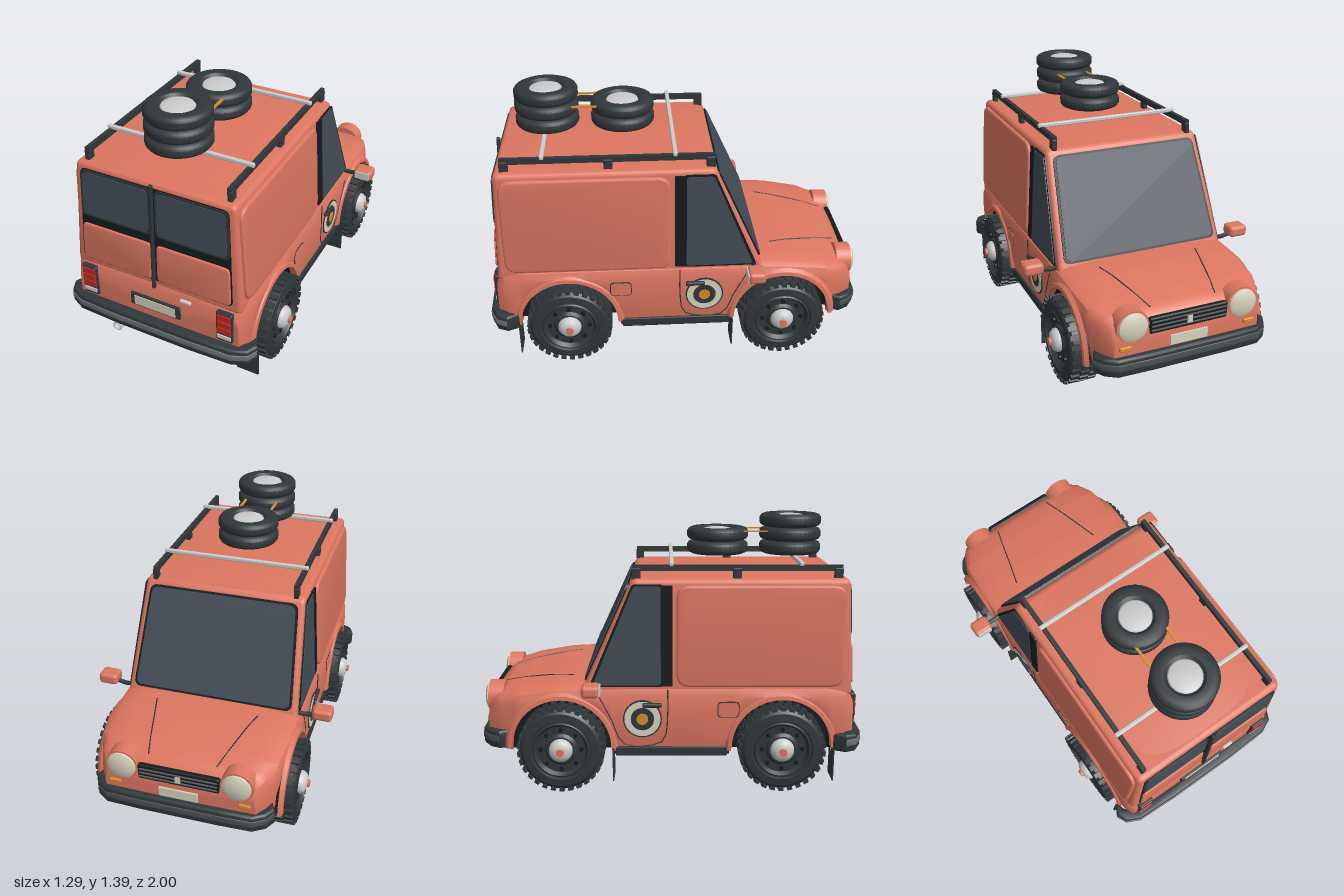
import * as THREE from 'three';
import { mergeGeometries, toCreasedNormals } from 'three/addons/utils/BufferGeometryUtils.js';
import { RoundedBoxGeometry } from 'three/addons/geometries/RoundedBoxGeometry.js';

const PAINT = 0xdc7660, DARK = 0x30373a, BLACK = 0x171b1d, GLASS = 0x434d57, GREY = 0xcccccc, CREAM = 0xd8d2bd, AMBER = 0xd98a2b, RED = 0xc02a22;
const mats = {};
const mat = c => (mats[c] ??= new THREE.MeshStandardMaterial({ color: c, side: THREE.DoubleSide }));

// Linear look-up in a list of [key, value], keys ascending
function lookup(table, k) {
  for (let i = 1; i < table.length; i++) {
    const [a, va] = table[i - 1], [b, vb] = table[i];
    if (k <= b) return va + (vb - va) * THREE.MathUtils.clamp((k - a) / (b - a), 0, 1);
  }
  return table[table.length - 1][1];
}

// Polygon with rounded corners
function rounded(pts, r) {
  const s = new THREE.Shape(), v = pts.map(p => new THREE.Vector2(...p));
  v.forEach((p, i) => {
    const a = v[(i + v.length - 1) % v.length], b = v[(i + 1) % v.length];
    const p0 = p.clone().add(a.clone().sub(p).setLength(r)), p1 = p.clone().add(b.clone().sub(p).setLength(r));
    i ? s.lineTo(p0.x, p0.y) : s.moveTo(p0.x, p0.y);
    s.quadraticCurveTo(p.x, p.y, p1.x, p1.y);
  });
  s.closePath();
  return s;
}
const rect = (x0, x1, y0, y1) => [[x0, y0], [x1, y0], [x1, y1], [x0, y1]];
const slab = (pts, r, d, bevel = 0) => toCreasedNormals(new THREE.ExtrudeGeometry(rounded(pts, r), {
  depth: d, curveSegments: 6, bevelEnabled: bevel > 0, bevelSize: bevel, bevelOffset: -bevel, bevelThickness: bevel, bevelSegments: 3 }), 0.7);
const box = (w, h, d, x, y, z) => new THREE.BoxGeometry(w, h, d).translate(x, y, z);
const rbox = (w, h, d, x, y, z, r = 0.012) => new RoundedBoxGeometry(w, h, d, 2, r).translate(x, y, z);
const discX = (r, h, x, y, z, n = 32) => new THREE.CylinderGeometry(r, r, h, n).rotateZ(-Math.PI / 2).translate(x, y, z);
const discZ = (r, h, x, y, z, n = 32) => new THREE.CylinderGeometry(r, r, h, n).rotateX(Math.PI / 2).translate(x, y, z);
const lathe = (pts, n = 40, from = 0, len = Math.PI * 2) =>
  toCreasedNormals(new THREE.LatheGeometry(pts.map(p => new THREE.Vector2(...p)), n, from, len), 0.6);
const tube = (pts, r) => new THREE.TubeGeometry(new THREE.CatmullRomCurve3(pts.map(p => new THREE.Vector3(...p))), 16, r, 6);

// Copy mirrored across x = 0, with the winding put right
function mirrored(geo) {
  const g = geo.index ? geo.toNonIndexed() : geo.clone();
  g.scale(-1, 1, 1);
  for (const a of Object.values(g.attributes))
    for (let i = 0; i < a.count; i += 3)
      for (let k = 0; k < a.itemSize; k++) {
        const t = a.getComponent(i + 1, k);
        a.setComponent(i + 1, k, a.getComponent(i + 2, k));
        a.setComponent(i + 2, k, t);
      }
  return g;
}

const cabinX = y => 0.47 - (y - 0.5) * 0.065;
// Panel drawn in (z, y), laid on the left flank
function flank(pts, r, d, off, bevel = 0, xOf = cabinX) {
  const g = slab(pts.map(([z, y]) => [-z, y]), r, d, bevel).rotateY(Math.PI / 2), p = g.attributes.position;
  for (let i = 0; i < p.count; i++) p.setX(i, p.getX(i) + xOf(p.getY(i)) + off);
  return g;
}

const WHEEL_Z = 0.57, WHEEL_Y = 0.228, ARCH = 0.258;
const topY = z => lookup([[-0.96, 0.42], [-0.94, 0.465], [-0.9, 0.49], [-0.8, 0.515], [-0.6, 0.545], [-0.45, 0.552], [0.8, 0.555], [0.91, 0.54], [0.94, 0.48]], z);
const halfW = z => lookup([[-0.96, 0.39], [-0.9, 0.43], [-0.8, 0.47], [-0.6, 0.488], [0.8, 0.488], [0.9, 0.482], [0.94, 0.46]], z);

// Lower body: cross-sections from tail to nose, its lower edge rising over the wheels
function lowerBody() {
  const arch = zc => {
    const out = [[zc + ARCH + 0.001, 0.2]];
    for (let i = 0; i <= 20; i++) out.push([zc + ARCH * Math.cos(i * Math.PI / 20), WHEEL_Y + ARCH * Math.sin(i * Math.PI / 20)]);
    return [...out, [zc - ARCH - 0.001, 0.2]];
  };
  const stations = [[0.94, 0.2], [0.925, 0.2], [0.9, 0.2], [0.86, 0.2], ...arch(WHEEL_Z), [0.1, 0.2], [-0.1, 0.2],
    ...arch(-WHEEL_Z), [-0.87, 0.2], [-0.9, 0.21], [-0.94, 0.22], [-0.96, 0.23]];
  const pos = [], idx = [];
  let n = 0;
  for (const [z, yb] of stations) {
    const W = halfW(z), T = topY(z), S = Math.max(T - 0.05, yb + 0.005);
    const half = [[W - 0.02, yb], [W - 0.003, yb + (S - yb) * 0.3], [W, yb + (S - yb) * 0.7], [W - 0.004, S],
      [W - 0.016, T - 0.018], [W - 0.045, T], [W - 0.13, T + 0.008], [W - 0.28, T + 0.013]];
    const ring = [...half, [0, T + 0.016], ...half.slice().reverse().map(([x, y]) => [-x, y])];
    n = ring.length;
    ring.forEach(([x, y]) => pos.push(x, y, z));
  }
  const last = (stations.length - 1) * n;
  for (let i = 0; i < last; i += n)
    for (let j = 0; j < n - 1; j++) idx.push(i + j, i + n + j, i + j + 1, i + n + j, i + n + j + 1, i + j + 1);
  const c = pos.length / 3;
  pos.push(0, 0.35, 0.945, 0, 0.35, -0.965);
  for (let j = 0; j < n; j++) idx.push(c, j, (j + 1) % n, c + 1, last + (j + 1) % n, last + j);
  const g = new THREE.BufferGeometry().setIndex(idx);
  g.setAttribute('position', new THREE.Float32BufferAttribute(pos, 3));
  return toCreasedNormals(g, 0.6);
}

export function createModel() {
  const model = new THREE.Group();
  const add = (name, geo, color = PAINT, parent = model) => {
    const m = new THREE.Mesh(geo, mat(color));
    m.name = name;
    parent.add(m);
    return m;
  };
  const both = (name, geo, color, parent) => { add(name + 'Left', geo, color, parent); add(name + 'Right', mirrored(geo), color, parent); };

  // Body, cabin and crowned roof
  add('lowerBody', lowerBody());
  const cabin = new THREE.ExtrudeGeometry(rounded([[-0.93, 0.5], [0.475, 0.5], [0.2, 1.1], [-0.905, 1.1]], 0.03),
    { depth: 0.89, bevelSize: 0.025, bevelOffset: -0.025, bevelThickness: 0.025, bevelSegments: 4 }).translate(0, 0, -0.445).rotateY(Math.PI / 2);
  const roof = new THREE.BoxGeometry(0.82, 0.03, 1.05, 16, 1, 10).translate(0, 1.08, 0.345);
  const cp = cabin.attributes.position, rp = roof.attributes.position;
  for (let i = 0; i < cp.count; i++) cp.setX(i, cp.getX(i) * cabinX(cp.getY(i)) / 0.47);
  for (let i = 0; i < rp.count; i++) rp.setY(i, rp.getY(i) + 0.024 * (1 - (rp.getX(i) / 0.41) ** 2) * (1 - ((rp.getZ(i) - 0.345) / 0.56) ** 4));
  add('cabin', toCreasedNormals(cabin, 0.6));
  add('roof', toCreasedNormals(roof, 0.6));
  add('underbody', mergeGeometries([box(0.72, 0.28, 1.72, 0, 0.32, 0.01), box(0.93, 0.03, 0.6, 0, 0.2, 0), box(0.7, 0.02, 1.7, 0, 0.185, 0.01),
    box(0.9, 0.02, 0.1, 0, 0.21, 0.88), box(0.8, 0.02, 0.1, 0, 0.22, -0.89)]), BLACK);

  // Windscreen
  const screen = new THREE.Group();
  screen.name = 'windscreen';
  screen.position.set(0, 0.55, -0.453);
  screen.rotation.set(0.43, Math.PI, 0, 'XYZ');
  model.add(screen);
  add('screenSeal', slab([[-0.435, 0.02], [0.435, 0.02], [0.4, 0.575], [-0.4, 0.575]], 0.04, 0.007), BLACK, screen);
  add('screenGlass', slab([[-0.422, 0.032], [0.422, 0.032], [0.388, 0.563], [-0.388, 0.563]], 0.035, 0.012), GLASS, screen);

  // Flank panels, side windows and doors
  both('sidePanel', flank(rect(0.025, 0.885, 0.55, 1.07), 0.07, 0.01, -0.005, 0.012));
  both('doorPillar', flank(rect(-0.05, 0.005, 0.555, 1.07), 0.005, 0.01, 0), BLACK);
  both('sideWindowSeal', flank([[-0.045, 0.55], [-0.425, 0.55], [-0.2, 1.075], [-0.045, 1.075]], 0.015, 0.006, 0), BLACK);
  both('sideWindow', flank([[-0.055, 0.56], [-0.405, 0.56], [-0.193, 1.065], [-0.055, 1.065]], 0.015, 0.01, 0), GLASS);
  const low = () => 0.486;
  both('sill', flank(rect(-0.29, 0.29, 0.18, 0.23), 0.012, 0.02, -0.025, 0.004, low), DARK);
  both('fuelFlapGap', flank(rect(0.235, 0.35, 0.39, 0.475), 0.025, 0.003, 0, 0, low), DARK);
  both('fuelFlap', flank(rect(0.24, 0.345, 0.395, 0.47), 0.022, 0.006, 0, 0, low));
  both('doorSeam', tube([[0.487, 0.54, -0.02], [0.488, 0.4, -0.02], [0.486, 0.27, -0.04], [0.482, 0.24, -0.1], [0.483, 0.25, -0.25], [0.487, 0.38, -0.31], [0.487, 0.5, -0.37]], 0.003), DARK);
  both('doorDiscRim', discX(0.1, 0.01, 0.487, 0.385, -0.15), DARK);
  both('doorDisc', discX(0.093, 0.012, 0.488, 0.385, -0.15), CREAM);
  both('doorDiscRing', discX(0.06, 0.014, 0.489, 0.385, -0.15), DARK);
  both('doorDiscCentre', discX(0.03, 0.018, 0.49, 0.385, -0.15), AMBER);
  both('doorHandle', rbox(0.024, 0.022, 0.1, 0.498, 0.46, -0.1, 0.008), DARK);
  both('mirrorArm', tube([[0.44, 0.55, -0.41], [0.5, 0.545, -0.41], [0.56, 0.555, -0.405]], 0.012), DARK);
  both('mirrorShell', rbox(0.105, 0.062, 0.09, 0.592, 0.57, -0.405, 0.02));
  both('mirrorGlass', rbox(0.085, 0.046, 0.008, 0.592, 0.57, -0.36, 0.003), GREY);

  // Wheel (axis along x), with lugs, bolts and hub
  const spin = g => g.rotateZ(-Math.PI / 2);
  const tyre = spin(lathe([[0.001, 0.41], [0.14, 0.41], [0.15, 0.39], [0.195, 0.39], [0.214, 0.405], [0.217, 0.46], [0.214, 0.515], [0.195, 0.532],
    [0.158, 0.536], [0.153, 0.525], [0.146, 0.525], [0.14, 0.532], [0.125, 0.512], [0.085, 0.512], [0.07, 0.525], [0.001, 0.525]], 48));
  const lugs = [], bolts = [];
  for (let i = 0; i < 30; i++)
    for (const k of [0, 1, 2])
      lugs.push(box(0.044, 0.016, 0.026, 0.412 + k * 0.049, 0.217, 0).rotateX((i + k * 0.5) * Math.PI / 15));
  for (let i = 0; i < 8; i++) bolts.push(discX(0.011, 0.012, 0.516, 0.105, 0, 8).rotateX(i * Math.PI / 4));
  const hub = spin(lathe([[0.062, 0.52], [0.06, 0.537], [0.048, 0.554], [0.025, 0.563], [0.001, 0.565]], 28));
  const parts = [['tyre', tyre, DARK], ['tread', mergeGeometries(lugs), DARK], ['wheelBolts', mergeGeometries(bolts), BLACK],
    ['hubCap', hub, GREY], ['hubNut', discX(0.02, 0.016, 0.567, 0, 0, 12), PAINT]];
  for (const [end, z] of [['rear', WHEEL_Z], ['front', -WHEEL_Z]]) {
    for (const [name, g, c] of parts) both(end + '_' + name, g.clone().translate(0, WHEEL_Y, z), c);
    // Half-round well and lip: the sweep is turned to lie over the wheel
    const over = g => spin(g).translate(0, WHEEL_Y, z);
    both(end + 'WheelWell', over(lathe([[ARCH, 0.34], [ARCH, 0.468]], 24, Math.PI, Math.PI)), BLACK);
    both(end + 'ArchLip', over(lathe([[ARCH + 0.035, 0.474], [ARCH + 0.02, 0.494], [ARCH, 0.497], [ARCH - 0.003, 0.46]], 32, Math.PI, Math.PI)));
    both(end + 'MudFlap', box(0.12, 0.17, 0.006, 0.46, 0.14, z + 0.268), DARK);
  }

  // Bumpers: bent bands seen from above, with a bright strip
  const bumper = (name, sign, ends, stripColor) => {
    const band = (o, y0, h, bev) => {
      const outer = ends.map(([x, z]) => [x, z + o]), all = [...outer, ...outer.slice().reverse().map(([x, z]) => [-x, z])];
      const inner = all.slice().reverse().map(([x, z]) => [x * 0.94, z - 0.06]);
      const s = new THREE.Shape([...all, ...inner].map(([x, z]) => new THREE.Vector2(x, -z * sign)));
      return toCreasedNormals(new THREE.ExtrudeGeometry(s, { depth: h - 2 * bev, bevelSize: bev, bevelOffset: -bev, bevelThickness: bev, bevelSegments: 3 })
        .rotateX(-Math.PI / 2).translate(0, y0 + bev, 0), 0.6);
    };
    add(name, band(0, 0.215, 0.095, 0.014), DARK);
    add(name + 'Strip', band(0.004, 0.25, 0.035, 0.003), stripColor);
  };
  bumper('rearBumper', 1, [[0.54, 0.895], [0.515, 0.95], [0.44, 0.985], [0.2, 0.994]], 0x6d7375);
  bumper('frontBumper', -1, [[0.47, 0.895], [0.44, 0.95], [0.38, 0.99], [0.2, 0.996]], 0x4b5255);

  // Rear doors, leaning with the cabin
  const rear = new THREE.Group();
  rear.name = 'rearDoors';
  rear.position.set(0, 0.5, 0.93);
  rear.rotation.x = -0.045;
  model.add(rear);
  add('rearDoorSeal', slab([[-0.425, 0.045], [0.425, 0.045], [0.4, 0.575], [-0.4, 0.575]], 0.03, 0.004), BLACK, rear);
  both('rearWindowFrame', slab([[0.012, 0.31], [0.41, 0.31], [0.4, 0.57], [0.012, 0.57]], 0.03, 0.009), DARK, rear);
  both('rearWindow', slab([[0.025, 0.322], [0.396, 0.322], [0.385, 0.558], [0.025, 0.558]], 0.03, 0.013), GLASS, rear);
  both('rearDoorPanel', slab([[0.014, 0.05], [0.418, 0.05], [0.408, 0.262], [0.014, 0.262]], 0.025, 0.006, 0.008), PAINT, rear);
  add('doorBar', rbox(0.018, 0.59, 0.02, 0, 0.305, 0.018, 0.006), DARK, rear);

  // Tail fittings
  both('tailLampBase', rbox(0.09, 0.18, 0.03, 0.388, 0.415, 0.94, 0.01), DARK);
  both('tailLampRed', mergeGeometries([0, 1, 2].map(i => rbox(0.076, 0.038, 0.03, 0.388, 0.475 - i * 0.04, 0.945, 0.005))), RED);
  both('reverseLamp', rbox(0.076, 0.026, 0.03, 0.388, 0.355, 0.945, 0.005), GREY);
  add('rearPlateFrame', rbox(0.285, 0.075, 0.02, 0, 0.395, 0.945, 0.006), DARK);
  add('rearPlate', box(0.235, 0.055, 0.022, 0, 0.395, 0.947), CREAM);
  add('rearHandle', rbox(0.06, 0.016, 0.025, 0.175, 0.485, 0.943, 0.005), GREY);
  add('exhaust', lathe([[0.018, 0.86], [0.026, 0.86], [0.026, 0.97], [0.02, 0.97], [0.02, 0.88], [0.001, 0.88]], 20).rotateX(Math.PI / 2).translate(-0.235, 0.17, 0), GREY);

  // Nose: lamps, grille, plate and bonnet seams
  both('lampPod', discZ(0.084, 0.08, 0.295, 0.455, -0.922));
  both('headLamp', lathe([[0.076, 0.955], [0.073, 0.97], [0.05, 0.982], [0.001, 0.987]], 32).rotateX(-Math.PI / 2).translate(0.295, 0.455, 0), CREAM);
  both('indicator', rbox(0.06, 0.024, 0.02, 0.335, 0.35, -0.963, 0.006), AMBER);
  add('grille', rbox(0.42, 0.085, 0.03, 0, 0.44, -0.953, 0.01), BLACK);
  add('grilleBars', mergeGeometries([-1, 0, 1].map(i => box(0.4, 0.006, 0.01, 0, 0.44 + i * 0.022, -0.969))), 0x5f6669);
  add('grilleBadge', box(0.026, 0.036, 0.012, 0, 0.44, -0.971), CREAM);
  add('frontPlate', box(0.2, 0.05, 0.012, 0, 0.345, -0.968), CREAM);
  both('bonnetSeam', tube([[0.175, -0.9], [0.21, -0.77], [0.245, -0.63], [0.275, -0.52]].map(([x, z]) => [x, topY(z) + 0.012, z]), 0.0035), DARK);

  // Roof rack
  both('rackRail', box(0.022, 0.03, 1.07, 0.38, 1.152, 0.335), DARK);
  both('rackPosts', mergeGeometries([-0.18, 0.335, 0.85].map(z => rbox(0.026, 0.06, 0.045, 0.382, 1.122, z, 0.006))), DARK);
  for (const z of [0, 0.66]) add('rackCrossbar', rbox(0.8, 0.022, 0.022, 0, 1.172, z, 0.006), GREY);

  // Spare tyre stacks and their straps
  const spare = lathe([[0.08, 0.005], [0.14, 0], [0.158, 0.008], [0.166, 0.02], [0.166, 0.05], [0.158, 0.062], [0.14, 0.07], [0.1, 0.068], [0.085, 0.055]]);
  const disc = lathe([[0.088, 0.045], [0.08, 0.058], [0.05, 0.066], [0.001, 0.068]], 32);
  for (const [z, count] of [[0.65, 3], [0.255, 2]]) {
    for (let i = 0; i < count; i++) add('spareTyre', spare.clone().translate(0, 1.18 + i * 0.073, z), DARK);
    add('spareWheelDisc', disc.clone().translate(0, 1.18 + (count - 1) * 0.073, z), GREY);
  }
  both('strap', box(0.014, 0.008, 0.22, 0.09, 1.305, 0.455), AMBER);
  return model;
}
